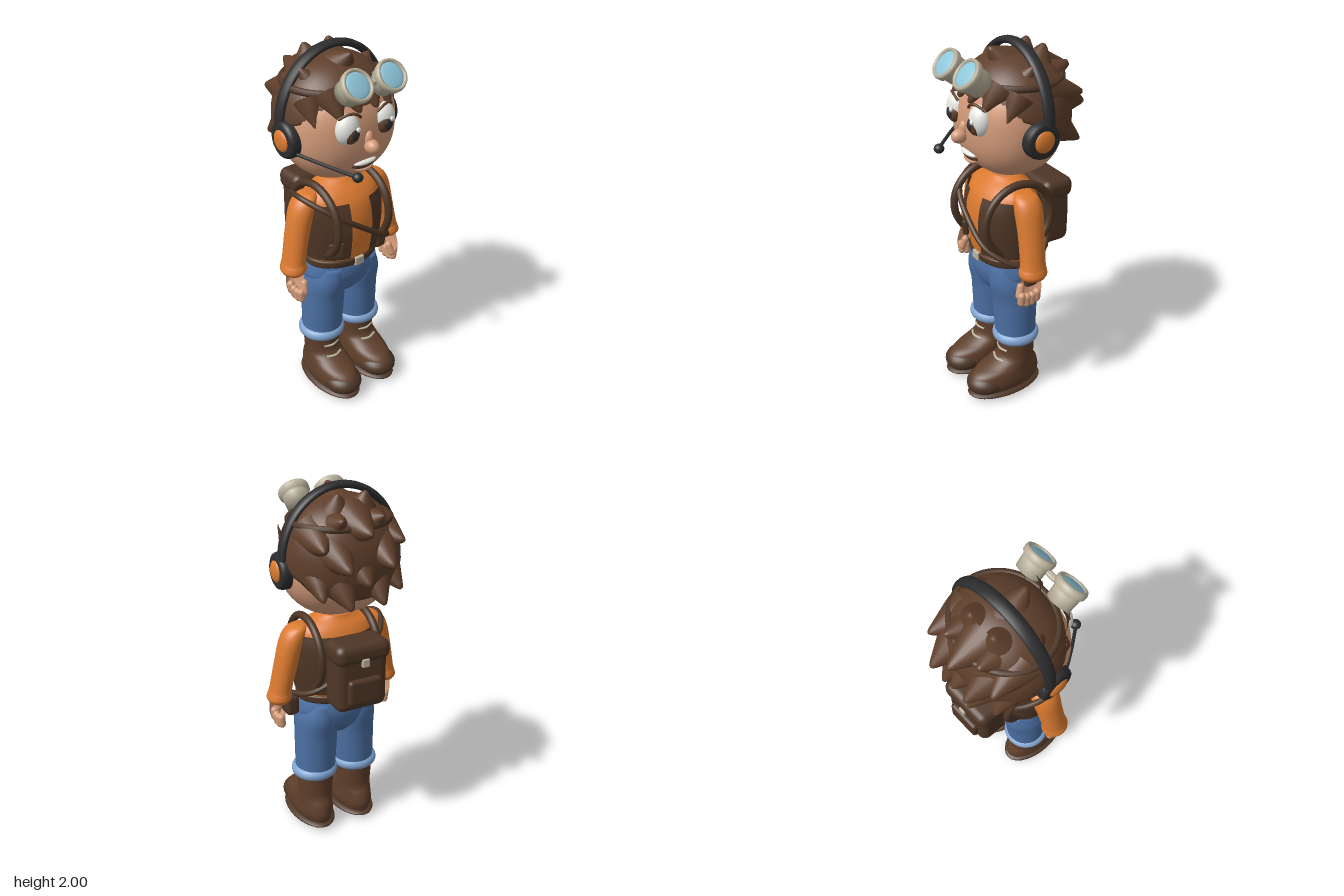
import * as THREE from 'three';
import { mergeVertices } from 'three/addons/utils/BufferGeometryUtils.js';
import { RoundedBoxGeometry } from 'three/addons/geometries/RoundedBoxGeometry.js';

const mat = (name, color, side = THREE.FrontSide) => {
  const m = new THREE.MeshStandardMaterial({ color, side });
  m.name = name;
  return m;
};
const V = (x, y, z) => new THREE.Vector3(x, y, z);

// Weld seams and recompute smooth normals
function weld(geo) {
  geo.deleteAttribute('uv');
  geo.deleteAttribute('normal');
  const g = mergeVertices(geo, 1e-5);
  g.computeVertexNormals();
  return g;
}

// Superellipsoid; an optional rule gives the lower cut angle from the horizontal z direction
function superBall(rx, ry, rz, p, cut) {
  const geo = new THREE.SphereGeometry(1, 48, 32), pos = geo.attributes.position;
  for (let i = 0; i < pos.count; i++) {
    const row = Math.floor(i / 49), phi = (i % 49) / 48 * Math.PI * 2;
    const th = row / 32 * Math.PI;
    const t = cut ? Math.min(row / 31, 1) * cut(Math.cos(phi)) : th;
    const d = [Math.sin(t) * Math.sin(phi), Math.cos(t), Math.sin(t) * Math.cos(phi)];
    let k = 1 / Math.pow(d.reduce((s, c) => s + Math.pow(Math.abs(c), p), 0), 1 / p);
    if (cut && row === 32) k *= 0.85; // turn the rim inward
    pos.setXYZ(i, d[0] * k * rx, d[1] * k * ry, d[2] * k * rz);
  }
  return weld(geo);
}

// Loft through horizontal elliptical sections [x, y, z, rx, rz]; a0..a1 leaves an open arc
function loft(sections, a0 = 0, a1 = Math.PI * 2) {
  const open = a1 - a0 < 6.28, seg = 36, cols = open ? seg + 1 : seg;
  const c = new THREE.CatmullRomCurve3(sections.map(s => V(s[0], s[1], s[2])), false, 'catmullrom');
  const r = new THREE.CatmullRomCurve3(sections.map(s => V(s[3], s[4], 0)), false, 'catmullrom');
  const n = (sections.length - 1) * 5, rows = [];
  for (let j = 0; j <= n; j++) rows.push([c.getPoint(j / n), r.getPoint(j / n)]);
  if (!open) {
    rows.unshift([rows[0][0], V(0.001, 0.001, 0)]);
    rows.push([rows[rows.length - 1][0], V(0.001, 0.001, 0)]);
  }
  const pos = [], idx = [];
  rows.forEach(([o, q], j) => {
    for (let i = 0; i < cols; i++) {
      const a = a0 + (a1 - a0) * i / seg;
      pos.push(o.x + q.x * Math.sin(a), o.y, o.z + q.y * Math.cos(a));
      if (j === rows.length - 1 || (open && i === seg)) continue;
      const p = j * cols + i, b = j * cols + (i + 1) % cols;
      idx.push(p, b, b + cols, p, b + cols, p + cols);
    }
  });
  const g = new THREE.BufferGeometry();
  g.setAttribute('position', new THREE.Float32BufferAttribute(pos, 3));
  g.setIndex(idx);
  g.computeVertexNormals();
  return g;
}

const tube = (pts, r, closed = false) =>
  new THREE.TubeGeometry(new THREE.CatmullRomCurve3(pts.map(p => V(...p)), closed), 64, r, 10, closed);
const lathe = (pts, seg) => new THREE.LatheGeometry(pts.map(p => new THREE.Vector2(...p)), seg);

export function createModel() {
  const skin = mat('skin', 0xd49b7a), brown = mat('hair and boot brown', 0x5f3f2b);
  const leather = mat('dark leather', 0x4e3626, THREE.DoubleSide), black = mat('black', 0x2d2d2f);
  const orange = mat('orange cloth', 0xdb7a30), denim = mat('denim', 0x4c70a4);
  const cuff = mat('light denim', 0x7fa3d0), cream = mat('cream metal', 0xbcb49e);
  const lens = mat('lens blue', 0x8ec6da), white = mat('white', 0xeeeeea);

  const model = new THREE.Group();
  model.name = 'explorer';
  const add = (name, geo, m, p = [0, 0, 0], rot = [0, 0, 0]) => {
    const mesh = new THREE.Mesh(geo, m);
    mesh.name = name;
    mesh.position.set(...p);
    mesh.rotation.set(...rot);
    model.add(mesh);
    return mesh;
  };
  const ball = (name, m, p, r) => add(name, new THREE.SphereGeometry(1, 28, 20), m, p).scale.set(...r);
  const box = (name, m, size, p, r = 0.02, rot) => add(name, new RoundedBoxGeometry(...size, 4, r), m, p, rot);

  // Head and hair
  add('head', superBall(0.3, 0.285, 0.255, 2.3), skin, [0, 1.6, 0.015]);
  const hairline = n => Math.acos(-0.02 + 0.43 * n - 0.08 * n * n);
  add('hair', superBall(0.31, 0.31, 0.28, 2.15, hairline), brown, [0, 1.63, -0.02]);
  const spikes = [ // base, tip, radius; off-centre ones are mirrored
    [0, 1.82, -0.14, 0, 1.81, -0.355, 0.12], [0.12, 1.71, -0.15, 0.115, 1.645, -0.372, 0.125],
    [0, 1.63, -0.18, 0, 1.56, -0.35, 0.12], [0.1, 1.58, -0.16, 0.09, 1.445, -0.335, 0.115],
    [0.18, 1.62, -0.09, 0.215, 1.49, -0.28, 0.115], [0.17, 1.76, -0.09, 0.215, 1.74, -0.29, 0.115],
    [0.09, 1.8, -0.13, 0.11, 1.87, -0.27, 0.1], [0.07, 1.84, -0.1, 0.075, 1.968, -0.15, 0.11],
    [0, 1.86, 0.01, 0, 1.97, 0.12, 0.11], [0.15, 1.82, 0.02, 0.21, 1.91, 0, 0.075],
    [0.06, 1.83, 0.16, 0.05, 1.735, 0.265, 0.085], [0.14, 1.8, 0.14, 0.15, 1.715, 0.245, 0.085],
    [0.21, 1.77, 0.08, 0.24, 1.665, 0.17, 0.08]];
  const spikeProfile = [[1, 0], [0.77, 0.3], [0.44, 0.64], [0.18, 0.91], [0.09, 0.98], [0, 1]];
  for (const [bx, by, bz, tx, ty, tz, r] of spikes) for (const s of bx ? [1, -1] : [1]) {
    const b = V(s * bx, by, bz), d = V(s * tx, ty, tz).sub(b), h = d.length();
    add('hairSpike', lathe(spikeProfile.map(q => [q[0] * r, q[1] * h]), 20), brown, b.toArray())
      .quaternion.setFromUnitVectors(V(0, 1, 0), d.normalize());
  }

  // Face
  for (const s of [1, -1]) {
    ball('eyeWhite', white, [s * 0.112, 1.658, 0.235], [0.065, 0.08, 0.056]);
    ball('iris', brown, [s * 0.105, 1.64, 0.252], [0.05, 0.055, 0.045]);
    ball('pupil', black, [s * 0.103, 1.64, 0.269], [0.032, 0.035, 0.033]);
    ball('eyeShine', white, [s * 0.104 + 0.02, 1.664, 0.29], [0.013, 0.013, 0.009]);
    add('upperLid', tube([[s * 0.05, 1.712, 0.265], [s * 0.08, 1.736, 0.27], [s * 0.12, 1.743, 0.262],
      [s * 0.165, 1.72, 0.235]], 0.007), brown);
  }
  ball('nose', skin, [0, 1.553, 0.292], [0.035, 0.037, 0.044]);
  ball('noseBridge', skin, [0, 1.585, 0.265], [0.026, 0.045, 0.026]);
  ball('mouth', brown, [0, 1.445, 0.23], [0.075, 0.03, 0.028]);
  ball('upperTeeth', white, [0, 1.455, 0.238], [0.07, 0.016, 0.03]);
  add('lowerLip', tube([[-0.06, 1.428, 0.228], [-0.03, 1.414, 0.242], [0.03, 1.414, 0.242], [0.06, 1.428, 0.228]], 0.009), skin);

  // Goggles pushed up on the hair
  const band = [];
  for (let i = 0; i < 24; i++) {
    const a = i / 24 * Math.PI * 2;
    band.push([0.258 * Math.sin(a), 1.82, -0.02 + 0.232 * Math.cos(a)]);
  }
  add('goggleStrap', tube(band, 0.018, true), leather);
  const cup = [[0, -0.1], [0.066, -0.1], [0.07, -0.04], [0.073, -0.026], [0.082, -0.022], [0.084, 0], [0.08, 0.012], [0.068, 0.014], [0.064, 0]];
  for (const s of [1, -1]) {
    const g = new THREE.Group();
    g.name = 'goggle';
    g.position.set(s * 0.102, 1.893, 0.299);
    g.rotation.x = 0.88;
    const rim = new THREE.Mesh(lathe(cup, 32), cream);
    const glass = new THREE.Mesh(new THREE.SphereGeometry(1, 28, 14), lens);
    rim.name = 'goggleCup';
    glass.name = 'goggleLens';
    glass.scale.set(0.067, 0.013, 0.067);
    g.add(rim, glass);
    model.add(g);
  }
  box('goggleBridge', cream, [0.06, 0.028, 0.03], [0, 1.872, 0.272], 0.01);

  // Headset
  const arc = [];
  for (let i = 0; i <= 16; i++) {
    const a = i / 16 * Math.PI;
    arc.push([0.318 * Math.cos(a), 1.64 + 0.341 * Math.sin(a), 0]);
  }
  add('headband', tube([[0.315, 1.58, 0], ...arc, [-0.315, 1.58, 0]], 0.019), black, [0, 0, -0.024]).scale.z = 1.8;
  const pad = [[0, -0.045], [0.08, -0.045], [0.092, -0.036], [0.096, -0.02], [0.096, 0.012], [0.09, 0.028], [0.076, 0.036], [0, 0.036]];
  for (const s of [1, -1]) {
    add('earCup', lathe(pad, 32), black, [s * 0.303, 1.577, 0.014], [0, 0, -s * Math.PI / 2]);
    ball('earDisc', orange, [s * 0.335, 1.577, 0.014], [0.021, 0.057, 0.057]);
  }
  add('micBoom', tube([[-0.31, 1.53, 0.08], [-0.22, 1.49, 0.22], [-0.13, 1.45, 0.345]], 0.009), black);
  ball('microphone', black, [-0.128, 1.45, 0.343], [0.027, 0.025, 0.027]);

  // Neck, jumper and vest
  add('neck', new THREE.CylinderGeometry(0.065, 0.07, 0.14, 28), skin, [0, 1.3, 0.03]);
  add('torso', loft([[0, 0.83, 0.045, 0.205, 0.155], [0, 0.92, 0.045, 0.215, 0.17], [0, 1.06, 0.045, 0.222, 0.185],
    [0, 1.18, 0.045, 0.228, 0.165], [0, 1.245, 0.04, 0.205, 0.13], [0, 1.285, 0.035, 0.125, 0.09], [0, 1.305, 0.03, 0.085, 0.075]]), orange);
  add('vest', loft([[0, 0.885, 0.045, 0.226, 0.178], [0, 0.97, 0.045, 0.235, 0.192], [0, 1.06, 0.045, 0.239, 0.199],
    [0, 1.15, 0.045, 0.24, 0.188], [0, 1.215, 0.045, 0.234, 0.165]], 0.28, Math.PI * 2 - 0.28), leather);
  box('vestPocket', leather, [0.08, 0.085, 0.025], [-0.143, 0.96, 0.2], 0.008, [0, -0.5, 0]);
  for (const s of [1, -1])
    add('packStrap', new THREE.TorusGeometry(0.2, 0.021, 12, 56), leather, [s * 0.167, 1.09, 0.048], [0, Math.PI / 2, 0]);
  add('crossStrap', tube([[-0.262, 1.25, 0.05], [-0.17, 1.185, 0.21], [0, 1.067, 0.252], [0.16, 0.955, 0.232], [0.27, 0.878, 0.09],
    [0.2, 0.92, -0.1], [0, 1.05, -0.15], [-0.2, 1.2, -0.1]], 0.015, true), leather);
  box('hipPouch', leather, [0.075, 0.12, 0.1], [0.268, 0.81, 0.04], 0.025);

  // Belt
  add('belt', loft([[0, 0.825, 0.047, 0.214, 0.16], [0, 0.835, 0.047, 0.22, 0.166], [0, 0.86, 0.047, 0.22, 0.17], [0, 0.87, 0.047, 0.214, 0.165]]), leather);
  box('buckle', cream, [0.058, 0.05, 0.02], [0, 0.847, 0.212], 0.006);

  // Backpack
  box('backpack', leather, [0.29, 0.36, 0.17], [0, 1.04, -0.213], 0.045);
  box('packFlap', leather, [0.31, 0.115, 0.185], [0, 1.183, -0.22], 0.045);
  box('packPocket', leather, [0.19, 0.14, 0.05], [0, 0.98, -0.3], 0.02);
  box('packClasp', cream, [0.04, 0.045, 0.02], [0, 1.14, -0.311], 0.005);

  // Jeans seat
  add('jeansSeat', loft([[0, 0.61, 0.04, 0.06, 0.09], [0, 0.67, 0.04, 0.17, 0.138], [0, 0.74, 0.042, 0.222, 0.16],
    [0, 0.79, 0.043, 0.22, 0.162], [0, 0.835, 0.045, 0.208, 0.155]]), denim);

  for (const s of [1, -1]) {
    // Sleeve and hand
    add('sleeve', loft([[s * 0.325, 0.83, 0.06, 0.055, 0.064], [s * 0.322, 0.85, 0.06, 0.068, 0.077], [s * 0.319, 0.875, 0.059, 0.065, 0.075],
      [s * 0.313, 0.91, 0.056, 0.06, 0.069], [s * 0.28, 1.06, 0.047, 0.064, 0.071], [s * 0.248, 1.18, 0.043, 0.067, 0.076],
      [s * 0.222, 1.24, 0.042, 0.058, 0.066], [s * 0.2, 1.265, 0.042, 0.03, 0.04]]), orange);
    add('palm', loft([[s * 0.322, 0.86, 0.065, 0.036, 0.04], [s * 0.324, 0.81, 0.075, 0.042, 0.058],
      [s * 0.326, 0.755, 0.082, 0.04, 0.068], [s * 0.327, 0.71, 0.083, 0.03, 0.064], [s * 0.325, 0.685, 0.083, 0.014, 0.045]]), skin);
    for (let i = 0; i < 4; i++)
      add('finger', new THREE.CapsuleGeometry(0.021, 0.04, 6, 14), skin,
        [s * 0.323, 0.7 + (i === 0 || i === 3 ? 0.012 : 0), 0.036 + i * 0.031], [0, 0, -s * 0.1]);
    add('thumb', new THREE.CapsuleGeometry(0.02, 0.05, 6, 14), skin, [s * 0.3, 0.75, 0.125], [-0.3, 0, s * 0.2]);

    // Trouser leg and rolled cuff
    add('trouserLeg', loft([[s * 0.123, 0.34, 0.04, 0.112, 0.113], [s * 0.119, 0.48, 0.041, 0.117, 0.119],
      [s * 0.116, 0.6, 0.041, 0.119, 0.127], [s * 0.113, 0.71, 0.042, 0.117, 0.147], [s * 0.1, 0.81, 0.045, 0.095, 0.14]]), denim);
    add('trouserCuff', new THREE.TorusGeometry(0.098, 0.033, 14, 40), cuff, [s * 0.127, 0.358, 0.042], [Math.PI / 2, 0, 0]);

    // Boot
    add('boot', loft([[s * 0.128, 0.035, 0.12, 0.098, 0.205], [s * 0.128, 0.09, 0.122, 0.112, 0.222], [s * 0.127, 0.15, 0.11, 0.108, 0.2],
      [s * 0.126, 0.19, 0.072, 0.103, 0.142], [s * 0.125, 0.235, 0.042, 0.1, 0.106], [s * 0.125, 0.345, 0.038, 0.105, 0.105]]), brown);
    ball('toeCap', leather, [s * 0.128, 0.088, 0.24], [0.105, 0.068, 0.112]);
    ball('sole', leather, [s * 0.128, 0.03, 0.12], [0.124, 0.03, 0.23]);
    for (const [y, z] of [[0.275, 0.142], [0.215, 0.168]])
      add('lace', tube([[s * 0.126 - 0.05, y, z - 0.014], [s * 0.126, y, z + 0.002], [s * 0.126 + 0.05, y, z - 0.014]], 0.007), cream);
  }
  return model;
}
